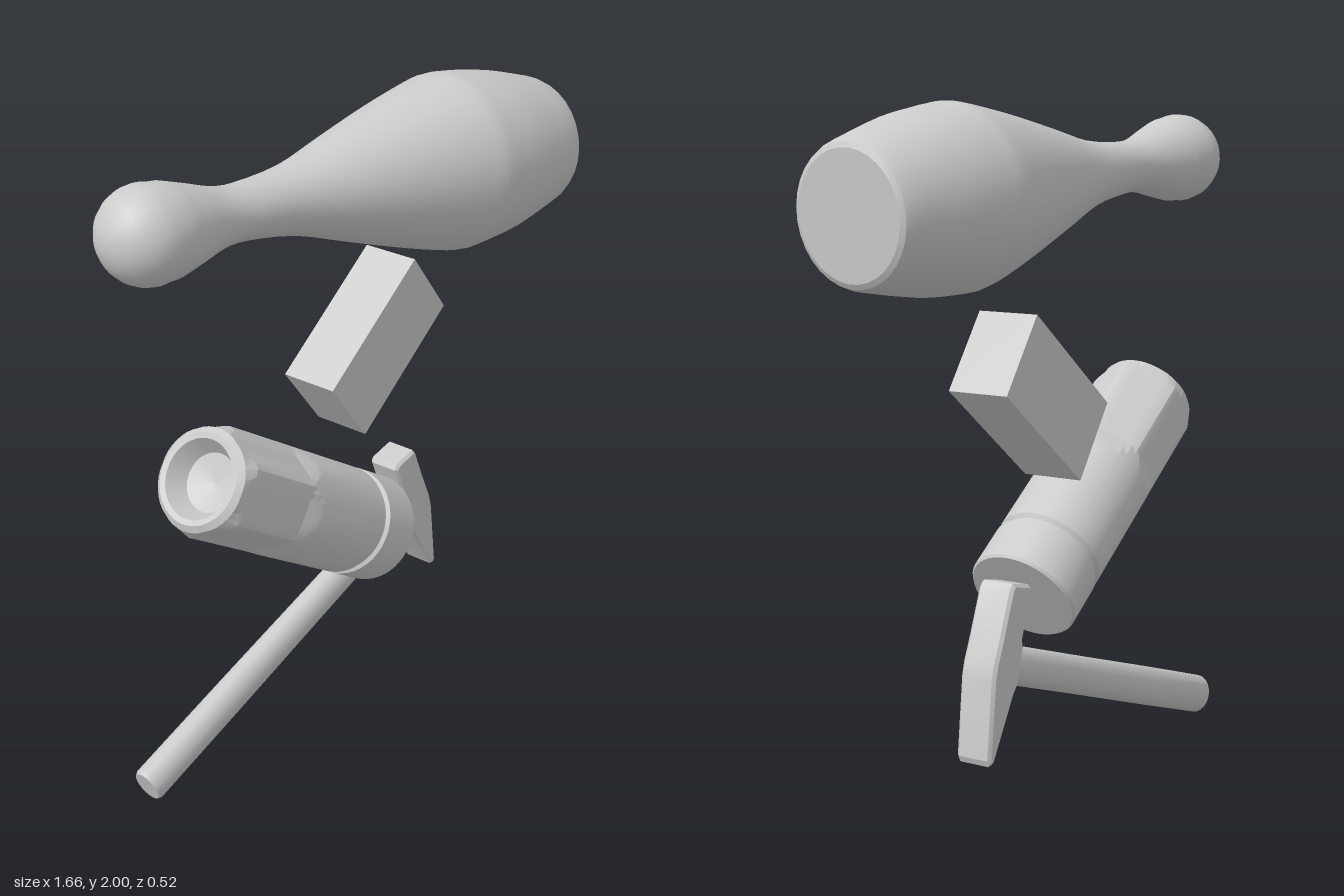
import * as THREE from 'three';
import { toCreasedNormals } from 'three/addons/utils/BufferGeometryUtils.js';

const material = new THREE.MeshStandardMaterial({ color: 0xcccccc });
const UP = new THREE.Vector3(0, 1, 0);

function makeMesh(name, geometry, crease = 0.45) {
  const mesh = new THREE.Mesh(toCreasedNormals(geometry, crease), material);
  mesh.name = name;
  return mesh;
}

// Stands a y-axis part at one point and aims it at another
function aim(mesh, from, to) {
  mesh.position.set(...from);
  const dir = new THREE.Vector3(...to).sub(mesh.position).normalize();
  mesh.quaternion.setFromUnitVectors(UP, dir);
  return mesh;
}

const points = (list) => list.map(([r, y]) => new THREE.Vector2(r, y));

// Bowling pin: round head, narrow neck, wide belly, flat base
function createPin() {
  const profile = [[0, -0.135]];
  for (let i = 1; i <= 7; i++) {
    const a = i * 0.262;
    profile.push([0.135 * Math.sin(a), -0.135 * Math.cos(a)]);
  }
  const body = new THREE.SplineCurve(points([
    [0.129, 0.06], [0.108, 0.14], [0.084, 0.23], [0.079, 0.32], [0.1, 0.5], [0.157, 0.7],
    [0.213, 0.9], [0.256, 1.08], [0.259, 1.15], [0.243, 1.3], [0.2, 1.49],
  ])).getPoints(30);
  const outline = [...points(profile), ...body, ...points([[0.19, 1.512], [0.175, 1.52], [0, 1.52]])];
  return aim(makeMesh('bowlingPin', new THREE.LatheGeometry(outline, 32)),
    [-0.695, 1.825, -0.125], [0.81, 1.715, 0.03]);
}

// Socket: round drive end with a groove, six-sided upper half, hollow mouth
function createSocket() {
  const geometry = new THREE.LatheGeometry(points([
    [0, 0], [0.16, 0], [0.166, 0.008], [0.166, 0.15], [0.155, 0.158], [0.155, 0.168],
    [0.165, 0.18], [0.165, 0.5], [0.165, 0.52], [0.165, 0.545], [0.165, 0.57],
    [0.165, 0.85], [0.15, 0.888], [0.132, 0.903], [0.115, 0.9], [0.085, 0.84], [0, 0.82],
  ]), 48);
  const p = geometry.attributes.position;
  const sector = Math.PI / 3;
  for (let i = 0; i < p.count; i++) {
    const x = p.getX(i), z = p.getZ(i), r = Math.hypot(x, z);
    if (r < 0.01) continue;
    // Press the flats into the wall, fading in above the round half
    const a = Math.atan2(x, z);
    const off = a - Math.round(a / sector) * sector;
    const flat = 0.166 - 0.018 * THREE.MathUtils.clamp((p.getY(i) - 0.5) / 0.07, 0, 1);
    const k = Math.min(r, flat / Math.cos(off)) / r;
    p.setX(i, x * k);
    p.setZ(i, z * k);
  }
  return aim(makeMesh('socket', geometry, 0.25), [0.17, 0.588, -0.088], [-0.585, 1.085, -0.09]);
}

// Plain rectangular block
function createBlock() {
  const block = makeMesh('block', new THREE.BoxGeometry(0.487, 0.254, 0.185));
  block.position.set(0.243, 1.19, -0.163);
  block.rotation.z = 0.647;
  return block;
}

// Hammer: oval handle and a wedge-shaped head with bevelled edges
function createHammer() {
  const hammer = new THREE.Group();
  hammer.name = 'hammer';

  const grip = new THREE.LatheGeometry(points([
    [0, 0], [0.054, 0], [0.061, 0.012], [0.06, 0.4], [0.057, 0.8], [0.055, 1.28], [0, 1.28],
  ]), 20);
  grip.scale(1, 1, 0.8);
  hammer.add(aim(makeMesh('handle', grip), [-0.737, 0.062, -0.207], [0.47, 0.485, -0.2]));

  const outline = points([
    [0.595, 0.232], [0.602, 0.25], [0.578, 0.47], [0.567, 0.51], [0.54, 0.57], [0.487, 0.7],
    [0.472, 0.716], [0.39, 0.696], [0.38, 0.678], [0.43, 0.55], [0.425, 0.53], [0.455, 0.425],
    [0.475, 0.405], [0.578, 0.236],
  ]);
  const bevel = 0.009;
  const head = new THREE.ExtrudeGeometry(new THREE.Shape(outline), {
    depth: 0.11 - 2 * bevel, bevelThickness: bevel, bevelSize: bevel, bevelOffset: -bevel, bevelSegments: 1,
  });
  head.translate(0, 0, -0.255 + bevel);
  hammer.add(makeMesh('hammerHead', head, 0.4));
  return hammer;
}

export function createModel() {
  const model = new THREE.Group();
  model.name = 'loosePropSet';
  model.add(createPin(), createBlock(), createSocket(), createHammer());
  return model;
}
